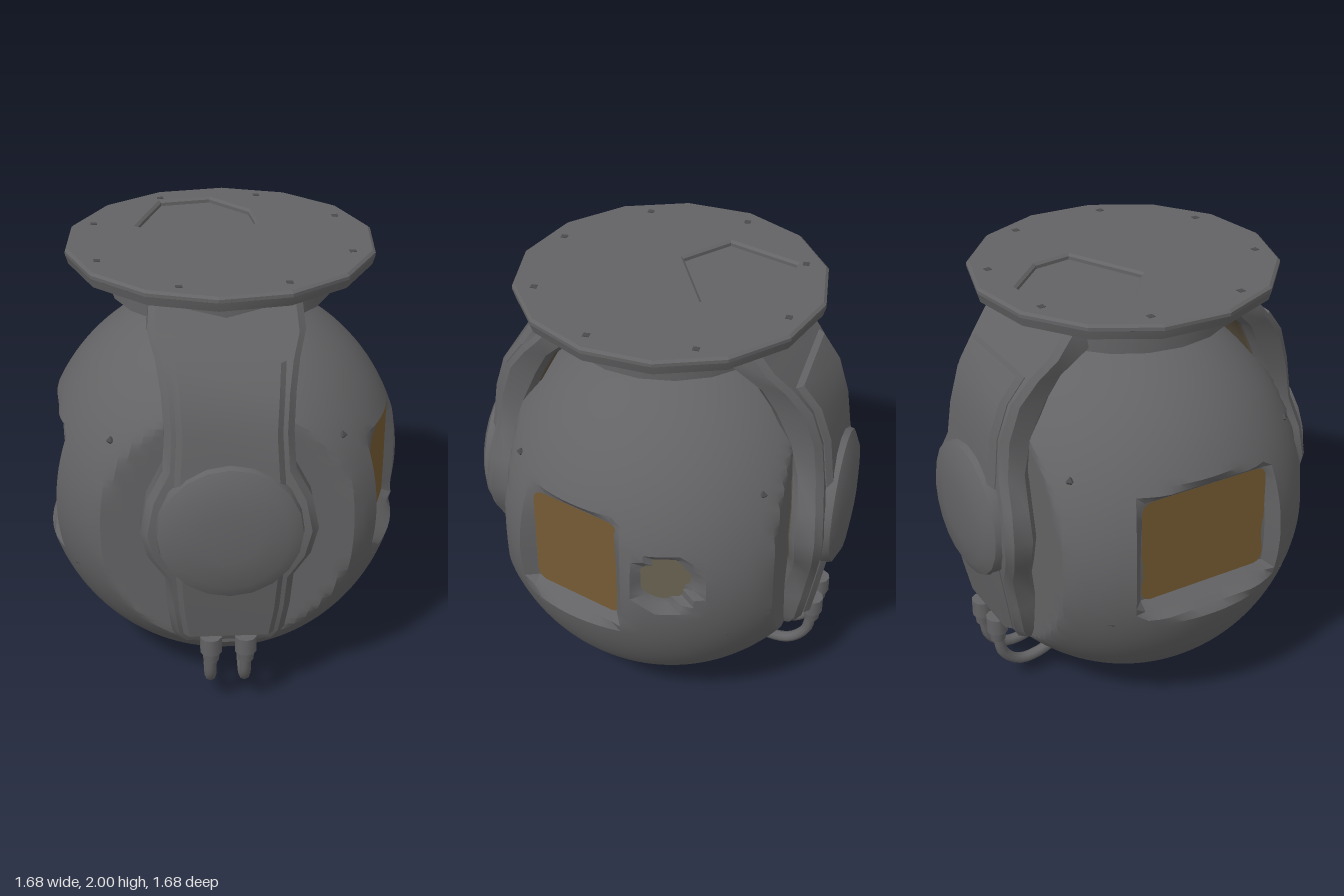
import * as THREE from 'three';
import { mergeVertices, toCreasedNormals } from 'three/addons/utils/BufferGeometryUtils.js';

const mat = (name, color, side = THREE.FrontSide) => {
  const m = new THREE.MeshStandardMaterial({ color, side });
  m.name = name;
  return m;
};

// Openings in the ball: a = heading of the normal, d = floor distance, hw/hh = half sizes
const OPENINGS = [
  { name: 'mainWindow', a: -Math.PI / 2, d: 0.69, y: 0.97, hw: 0.315, hh: 0.25 },
  { name: 'rearWindow', a: 1.257, d: 0.735, y: 0.97, hw: 0.225, hh: 0.25 },
  { name: 'roundPort', a: 1.815, d: 0.785, y: 0.97, r: 0.12 },
];

// Arm rows from top to bottom: y, half width, inner z, outer z
const ARM = [
  [1.88, 0.32, 0.2, 0.45], [1.78, 0.33, 0.36, 0.53], [1.69, 0.3, 0.45, 0.61],
  [1.58, 0.28, 0.51, 0.69], [1.42, 0.27, 0.58, 0.74], [1.25, 0.28, 0.62, 0.76],
  [1.12, 0.35, 0.64, 0.78], [0.97, 0.38, 0.64, 0.79], [0.84, 0.35, 0.64, 0.78],
  [0.72, 0.28, 0.62, 0.76], [0.55, 0.27, 0.57, 0.73], [0.4, 0.25, 0.55, 0.7],
  [0.34, 0.22, 0.55, 0.67],
];

function loft(rows, chamfer) {
  const pos = [], idx = [], n = 8;
  for (const [y, w, zi, zo] of rows) {
    const c = chamfer;
    const ring = [[w, zi + c], [w, zo - c], [w - c, zo], [c - w, zo],
      [-w, zo - c], [-w, zi + c], [c - w, zi], [w - c, zi]];
    for (const [x, z] of ring) pos.push(x, y, z);
  }
  for (let i = 0; i < rows.length - 1; i++) {
    for (let j = 0; j < n; j++) {
      const a = i * n + j, b = i * n + (j + 1) % n;
      idx.push(a, b, a + n, b, b + n, a + n);
    }
  }
  const last = (rows.length - 1) * n;
  for (let j = 1; j < n - 1; j++) idx.push(0, j + 1, j, last, last + j, last + j + 1);
  const g = new THREE.BufferGeometry();
  g.setAttribute('position', new THREE.Float32BufferAttribute(pos, 3));
  g.setIndex(idx);
  return toCreasedNormals(g, 0.6);
}

// Ball flattened beside the arms, with bevelled recesses for the openings
function ballGeometry() {
  let g = new THREE.SphereGeometry(1, 96, 72);
  g.deleteAttribute('uv');
  g.deleteAttribute('normal');
  g.scale(0.84, 0.88, 0.84);
  g.translate(0, 0.88, 0);
  const p = g.attributes.position;
  for (let i = 0; i < p.count; i++) {
    let x = p.getX(i), z = THREE.MathUtils.clamp(p.getZ(i), -0.62, 0.62);
    const y = p.getY(i);
    for (const o of OPENINGS) {
      const s = Math.sin(o.a), c = Math.cos(o.a);
      const n = x * s + z * c, t = x * c - z * s;
      const dist = o.r
        ? Math.max(0, Math.hypot(t, y - o.y) - o.r)
        : Math.hypot(Math.max(0, Math.abs(t) - o.hw), Math.max(0, Math.abs(y - o.y) - o.hh));
      const cut = Math.min(n, o.d + dist * 1.3);
      if (n > 0) { x = cut * s + t * c; z = cut * c - t * s; }
    }
    p.setXYZ(i, x, y, z);
  }
  g = mergeVertices(g, 1e-5);
  return toCreasedNormals(g, 0.5);
}

function roundedRect(hw, hh, r) {
  const s = new THREE.Shape();
  s.moveTo(-hw + r, -hh);
  s.lineTo(hw - r, -hh); s.quadraticCurveTo(hw, -hh, hw, -hh + r);
  s.lineTo(hw, hh - r); s.quadraticCurveTo(hw, hh, hw - r, hh);
  s.lineTo(-hw + r, hh); s.quadraticCurveTo(-hw, hh, -hw, hh - r);
  s.lineTo(-hw, -hh + r); s.quadraticCurveTo(-hw, -hh, -hw + r, -hh);
  return s;
}

export function createModel() {
  const body = mat('housing grey', 0x636365);
  const amber = mat('amber glass', 0x755a33);
  const port = mat('smoky glass', 0x6b6352);
  const liner = mat('liner tan', 0x5e5443);
  const dark = mat('bolt grey', 0x4a4a4c);

  const model = new THREE.Group();
  model.name = 'gimbalTurret';
  const add = (parent, name, geo, material, x = 0, y = 0, z = 0) => {
    const m = new THREE.Mesh(geo, material);
    m.name = name;
    m.position.set(x, y, z);
    parent.add(m);
    return m;
  };

  // Mounting flange with a shallow recess in its top
  const disc = new THREE.Shape(Array.from({ length: 14 }, (_, i) => {
    const a = (i / 14) * Math.PI * 2;
    return new THREE.Vector2(Math.cos(a) * 0.67, Math.sin(a) * 0.67);
  }));
  disc.holes.push(new THREE.Path([[-0.38, 0.39], [-0.12, 0.37], [0.02, 0.25],
    [-0.12, -0.12], [-0.39, -0.13], [-0.53, 0.2]].map(([x, y]) => new THREE.Vector2(x, y))));
  const top = new THREE.ExtrudeGeometry(disc, {
    depth: 0.015, bevelEnabled: true, bevelThickness: 0.01, bevelSize: 0.012, bevelSegments: 1 });
  top.rotateX(-Math.PI / 2);
  add(model, 'flangeTop', top, body, 0, 1.975, 0);
  const plate = new THREE.CylinderGeometry(0.682, 0.67, 0.04, 14);
  plate.rotateY(Math.PI / 2);
  add(model, 'flangePlate', toCreasedNormals(plate, 0.6), body, 0, 1.955, 0);
  for (let i = 0; i < 8; i++) {
    const a = (i + 0.5) * Math.PI / 4;
    add(model, 'flangeBolt', new THREE.CylinderGeometry(0.02, 0.02, 0.074, 4), dark,
      Math.cos(a) * 0.59, 1.965, Math.sin(a) * 0.59);
  }

  // Everything below the flange is turned about the upright axis
  const head = new THREE.Group();
  head.name = 'head';
  head.rotation.y = THREE.MathUtils.degToRad(42);
  model.add(head);

  add(head, 'neck', toCreasedNormals(new THREE.CylinderGeometry(0.49, 0.49, 0.17, 20), 0.6), body, 0, 1.87, 0);
  add(head, 'neckLiner', new THREE.CylinderGeometry(0.46, 0.46, 0.008, 20), liner, 0, 1.782, 0);

  // Ball with glass plates
  add(head, 'ball', ballGeometry(), body);
  for (const o of OPENINGS) {
    const geo = o.r ? new THREE.CircleGeometry(o.r, 8, Math.PI / 8)
      : new THREE.ShapeGeometry(roundedRect(o.hw, o.hh, 0.06));
    const d = o.d + 0.006;
    const m = add(head, o.name, geo, o.r ? port : amber, Math.sin(o.a) * d, o.y, Math.cos(o.a) * d);
    m.rotation.y = o.a;
  }

  // Small screws on the shell
  for (const sx of [-1, 1]) for (const sz of [-1, 1]) {
    for (const [x, y, z] of [[0.495, 1.3, 0.545], [0.66, 0.63, 0.44], [0.61, 0.51, 0.425]]) {
      add(head, 'shellScrew', new THREE.OctahedronGeometry(0.022), dark, sx * x, y, sz * z);
    }
  }

  // Two matching arms, each with panel, pivot cap and hoses
  for (const turn of [0, Math.PI]) {
    const arm = new THREE.Group();
    arm.name = 'yokeArm';
    arm.rotation.y = turn;
    head.add(arm);
    add(arm, 'armShell', loft(ARM, 0.03), body);
    add(arm, 'armLiner', loft(ARM.slice(1).map(([y, w, zi]) => [y, w - 0.025, zi - 0.007, zi + 0.07]), 0.02), liner);
    add(arm, 'armPanel', loft(ARM.slice(2, 12).map(([y, w, zi, zo]) =>
      [y, Math.min(w - 0.05, 0.24), zi + 0.05, zo + 0.03]), 0.025), body);

    const cap = new THREE.LatheGeometry([[0.32, 0], [0.31, 0.045], [0.25, 0.075], [0.12, 0.09], [0, 0.093]]
      .map(([r, h]) => new THREE.Vector2(r, h)), 20);
    cap.rotateX(Math.PI / 2);
    add(arm, 'pivotCap', toCreasedNormals(cap, 0.6), body, 0, 0.98, 0.77).material.side = THREE.DoubleSide;

    for (const x of [-0.08, 0.075]) {
      add(arm, 'hoseCollar', new THREE.CylinderGeometry(0.05, 0.05, 0.08, 10), body, x, 0.36, 0.725);
      add(arm, 'hoseFitting', new THREE.CylinderGeometry(0.043, 0.035, 0.06, 10), body, x, 0.3, 0.725);
      const path = new THREE.CatmullRomCurve3([[0.725, 0.29], [0.7, 0.18], [0.62, 0.11], [0.52, 0.11], [0.4, 0.16]]
        .map(([z, y]) => new THREE.Vector3(x, y, z)));
      add(arm, 'hose', new THREE.TubeGeometry(path, 14, 0.026, 8), body);
    }
  }
  return model;
}
